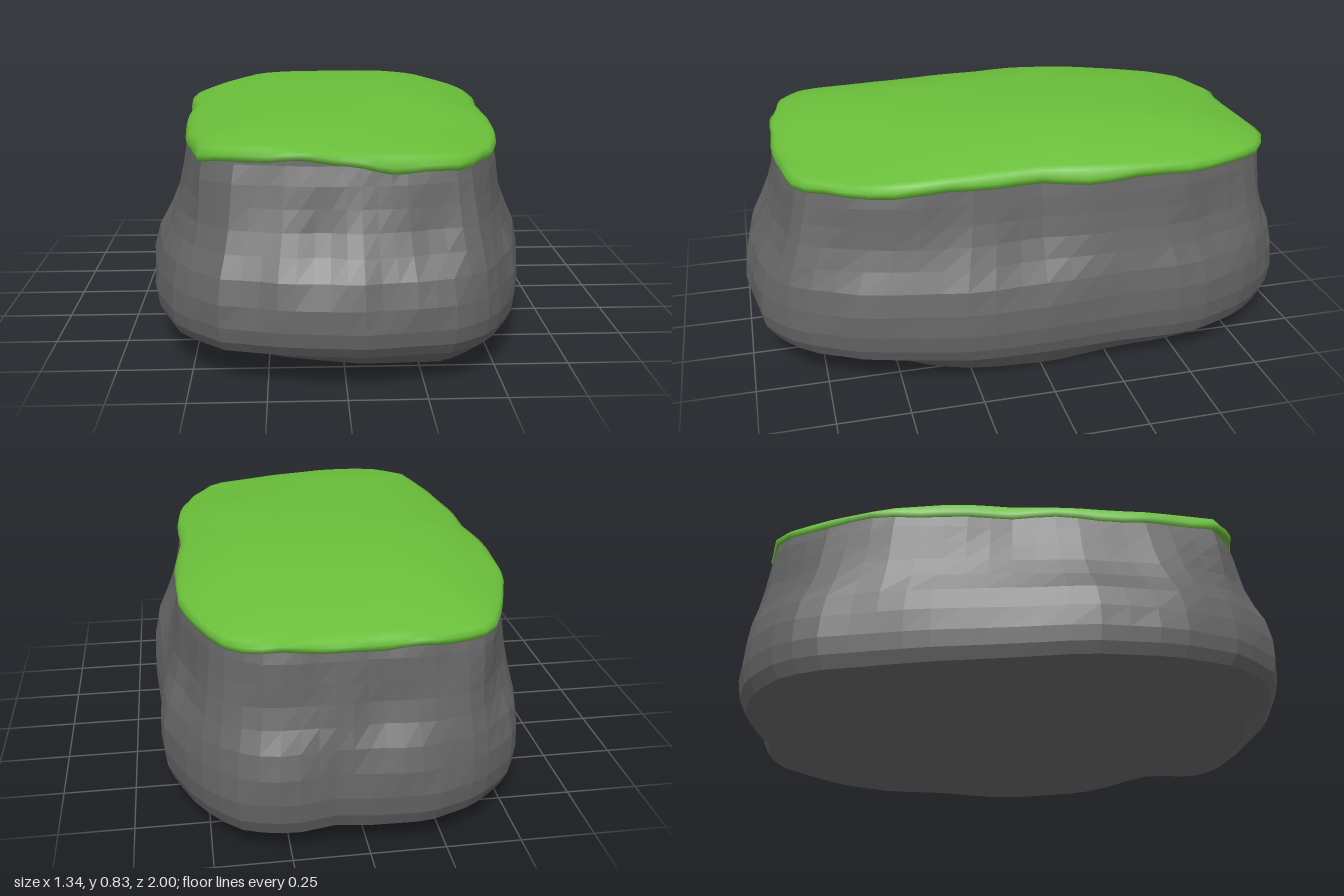
import * as THREE from 'three';

const SEG = 72;

// Plan outlines (x, z), listed all the way round
const BASE = [[-.37, -.94], [-.2, -1], [0, -.99], [.1, -.97], [.25, -1], [.4, -.97], [.5, -.88], [.58, -.75],
  [.65, -.56], [.645, -.3], [.665, 0], [.67, .25], [.63, .45], [.58, .65], [.48, .85], [.36, .95], [.05, 1],
  [-.2, .975], [-.4, .92], [-.55, .78], [-.64, .55], [-.675, .25], [-.65, 0], [-.63, -.3], [-.57, -.7], [-.5, -.83]];
const TOP = [[-.37, -.88], [-.2, -.92], [0, -.915], [.2, -.92], [.35, -.9], [.46, -.82], [.52, -.67], [.57, -.5],
  [.57, -.2], [.545, 0], [.55, .25], [.54, .45], [.48, .65], [.39, .8], [.33, .82], [.12, .86], [-.1, .86],
  [-.35, .82], [-.46, .75], [-.52, .5], [-.55, .2], [-.54, 0], [-.57, -.2], [-.56, -.45], [-.5, -.65], [-.43, -.81]];

// Point where the ray at angle a leaves an outline
function edgePoint(outline, a) {
  const dx = 0.62 * Math.sin(a), dz = Math.cos(a);
  for (let i = 0; i < outline.length; i++) {
    const [px, pz] = outline[i], [qx, qz] = outline[(i + 1) % outline.length];
    const ex = qx - px, ez = qz - pz, det = dx * ez - dz * ex;
    const t = (px * ez - pz * ex) / det, s = (px * dz - pz * dx) / det;
    if (t > 0 && s >= -1e-9 && s <= 1 + 1e-9) return [dx * t, dz * t];
  }
  return [0, 0];
}

// Angle round the block, -PI to PI, zero at the front
const angle = (i) => (i / SEG - 0.5) * Math.PI * 2;
const baseEdge = Array.from({ length: SEG }, (_, i) => edgePoint(BASE, angle(i)));
const topEdge = Array.from({ length: SEG }, (_, i) => edgePoint(TOP, angle(i)));

// Skin stacked rings; point(i, j) gives ring j, segment i
function loft(rings, point) {
  const pos = [], idx = [];
  for (let j = 0; j < rings; j++) for (let i = 0; i < SEG; i++) pos.push(...point(i, j));
  for (let j = 0; j < rings - 1; j++) {
    for (let i = 0; i < SEG; i++) {
      const a = j * SEG + i, b = j * SEG + (i + 1) % SEG;
      idx.push(a, b, b + SEG, a, b + SEG, a + SEG);
    }
  }
  const g = new THREE.BufferGeometry();
  g.setAttribute('position', new THREE.Float32BufferAttribute(pos, 3));
  g.setIndex(idx);
  g.computeVertexNormals();
  return g;
}

const bump = (x, z, cx, cz, w) => Math.exp(-((x - cx) ** 2 + (z - cz) ** 2) / (w * w));
const hump = (a, centre, w) => Math.exp(-(((a - centre) / w) ** 2));

// Lumpy underside, sloping down to +x; f runs from 0 at the middle to 1 at the edge
const underside = (x, z, f) => 0.053 - 0.065 * x + 0.045 * f ** 6 - 0.026 * bump(x, z, 0.46, -0.05, 0.22)
  - 0.035 * bump(x, z, -0.17, 0.12, 0.25) - 0.02 * bump(x, z, -0.05, -0.7, 0.3)
  + 0.045 * hump(z, 0.57, 0.15);

// Wavy lower edge of the grass: high at the front left, low at the front right and the back
const hem = (a) => 0.697 + 0.035 * hump(a, -0.35, 0.35) - 0.012 * hump(a, 0.6, 0.4)
  - 0.016 * Math.max(0, -Math.cos(a)) + 0.005 * Math.sin(9 * a + 2) + 0.004 * Math.sin(17 * a);

export function createModel() {
  const group = new THREE.Group();

  // Rock: [height, flare (1 base outline, 0 top outline), scale]
  const floor = [0, 0.15, 0.3, 0.45, 0.6, 0.74, 0.88];
  const wall = [[.105, 1, .965], [.15, 1, .99], [.21, 1, 1], [.29, .96, 1], [.37, .8, 1], [.44, .5, 1],
    [.51, .26, 1], [.58, .11, 1], [.65, .03, .995], [.71, 0, .98]];
  const rockGeometry = loft(floor.length + wall.length + 1, (i, j) => {
    const [bx, bz] = baseEdge[i], [tx, tz] = topEdge[i], a = angle(i);
    if (j < floor.length) {
      const f = floor[j], x = bx * f, z = bz * f;
      return [x, underside(x, z, f), z];
    }
    if (j === floor.length + wall.length) return [0, 0.71, 0];
    const [y, flare, s] = wall[j - floor.length];
    // Chiselled unevenness, fading out at the widest ring and the rim
    const mid = Math.max(0, Math.sin((y - 0.21) / 0.5 * Math.PI));
    const k = s * (1 + mid * (0.008 * Math.sin(11 * a) * Math.cos(13 * y) + 0.005 * Math.sin(19 * a + 1)));
    // The bottom edge sits higher at the front than at the back
    const tilt = Math.max(0, (0.25 - y) / 0.145) * (0.024 * Math.cos(a) - 0.008 * Math.sin(a));
    const spread = flare ** (1 + 0.5 * Math.max(0, -Math.cos(a)));
    return [(tx + (bx - tx) * spread) * k, y + tilt, (tz + (bz - tz) * spread) * k];
  });
  const rock = new THREE.Mesh(rockGeometry, new THREE.MeshStandardMaterial({ color: 0x666666, flatShading: true }));
  rock.name = 'rock';
  group.add(rock);

  // Grass: skirt hanging over the rim, then a gentle dome with a hollow at the front right
  const crown = (x, z, r) => 0.82 - 0.083 * r ** 3 + 0.01 * bump(x, z, 0.2, -0.1, 0.35)
    + 0.022 * bump(x, z, -0.25, 0.75, 0.28) - 0.025 * bump(x, z, 0.35, 0.58, 0.25)
    + 0.01 * bump(x, z, -0.5, -0.1, 0.3) - 0.03 * r ** 3 * Math.max(0, -z);
  const skirt = [[.975, 0.012], [.996, 0], [1.003, 0.02]];
  const dome = [.988, .95, .88, .76, .62, .46, .3, .15, 0];
  const grassGeometry = loft(skirt.length + dome.length, (i, j) => {
    const a = angle(i), [tx, tz] = topEdge[i];
    if (j < skirt.length) {
      const [s, lift] = skirt[j], k = s * (1 + 0.004 * Math.sin(15 * a));
      return [tx * k, hem(a) + lift, tz * k];
    }
    const r = dome[j - skirt.length], x = tx * r, z = tz * r;
    return [x, crown(x, z, r), z];
  });
  const grass = new THREE.Mesh(grassGeometry,
    new THREE.MeshStandardMaterial({ color: 0x6abe3a, side: THREE.DoubleSide }));
  grass.name = 'grassTop';
  group.add(grass);

  return group;
}
